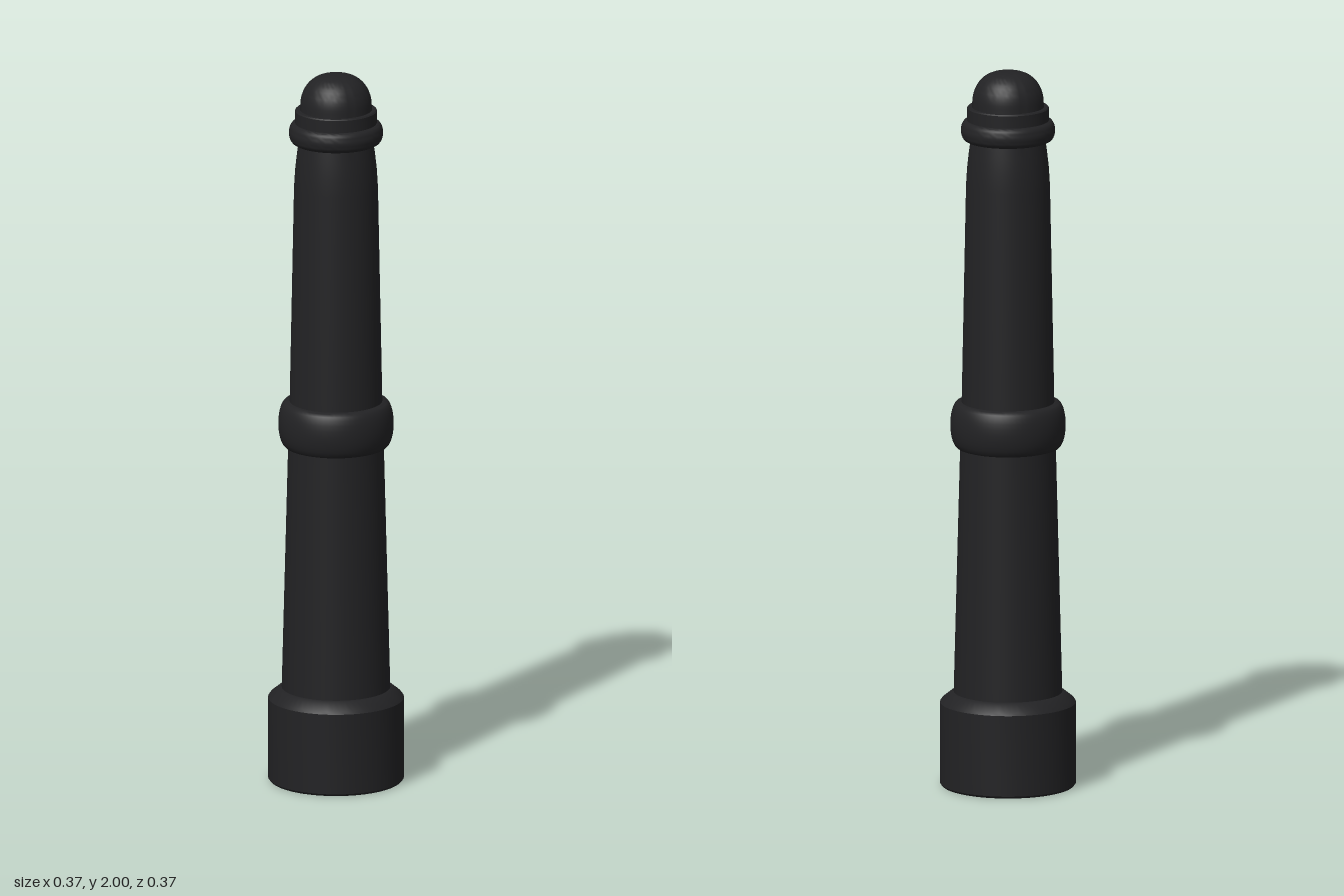
import * as THREE from 'three';
import { toCreasedNormals } from 'three/addons/utils/BufferGeometryUtils.js';

const SEGMENTS = 64;

export function createModel() {
  const group = new THREE.Group();
  group.name = 'bollard';
  const material = new THREE.MeshStandardMaterial({ color: 0x222224 });

  // Turned part from [radius, height] pairs, bottom to top
  const turned = (name, profile) => {
    const points = profile.map(([r, y]) => new THREE.Vector2(r, y));
    const geometry = toCreasedNormals(new THREE.LatheGeometry(points, SEGMENTS), 0.6);
    const mesh = new THREE.Mesh(geometry, material);
    mesh.name = name;
    group.add(mesh);
  };

  // Rounded band: flat ends joined by a bulging side
  const band = (name, inner, outer, y0, y1, bulge) => {
    const profile = [[0, y0]];
    for (let i = 0; i <= 12; i++) {
      const a = (i / 12 - 0.5) * Math.PI;
      const r = inner + (outer - inner) * Math.pow(Math.cos(a), bulge);
      profile.push([Math.max(r, inner), (y0 + y1) / 2 + Math.sin(a) * (y1 - y0) / 2]);
    }
    profile.push([0, y1]);
    turned(name, profile);
  };

  // Foot with softened lower edge and sloping shoulder
  turned('base', [
    [0, 0], [0.181, 0], [0.186, 0.006], [0.186, 0.232],
    [0.181, 0.239], [0.156, 0.259], [0.148, 0.262], [0, 0.262],
  ]);

  // Tapering shaft, curving in slightly below the collar
  turned('shaft', [
    [0.149, 0.25], [0.131, 0.95], [0.127, 1.07], [0.115, 1.68],
    [0.112, 1.73], [0.107, 1.775], [0.102, 1.81], [0, 1.81],
  ]);

  band('middleRing', 0.134, 0.158, 0.946, 1.074, 0.9);
  band('collar', 0.11, 0.129, 1.807, 1.864, 0.8);

  // Narrow step above the collar
  turned('neck', [[0, 1.85], [0.112, 1.85], [0.112, 1.898], [0.109, 1.901], [0, 1.901]]);

  // Rounded cap
  const cap = [[0.099, 1.895], [0.098, 1.912]];
  for (let i = 1; i <= 14; i++) {
    const a = (i / 14) * Math.PI / 2;
    cap.push([0.098 * Math.pow(Math.max(Math.cos(a), 0), 0.75), 1.912 + 0.088 * Math.sin(a)]);
  }
  cap[cap.length - 1][0] = 0;
  turned('cap', cap);

  return group;
}
